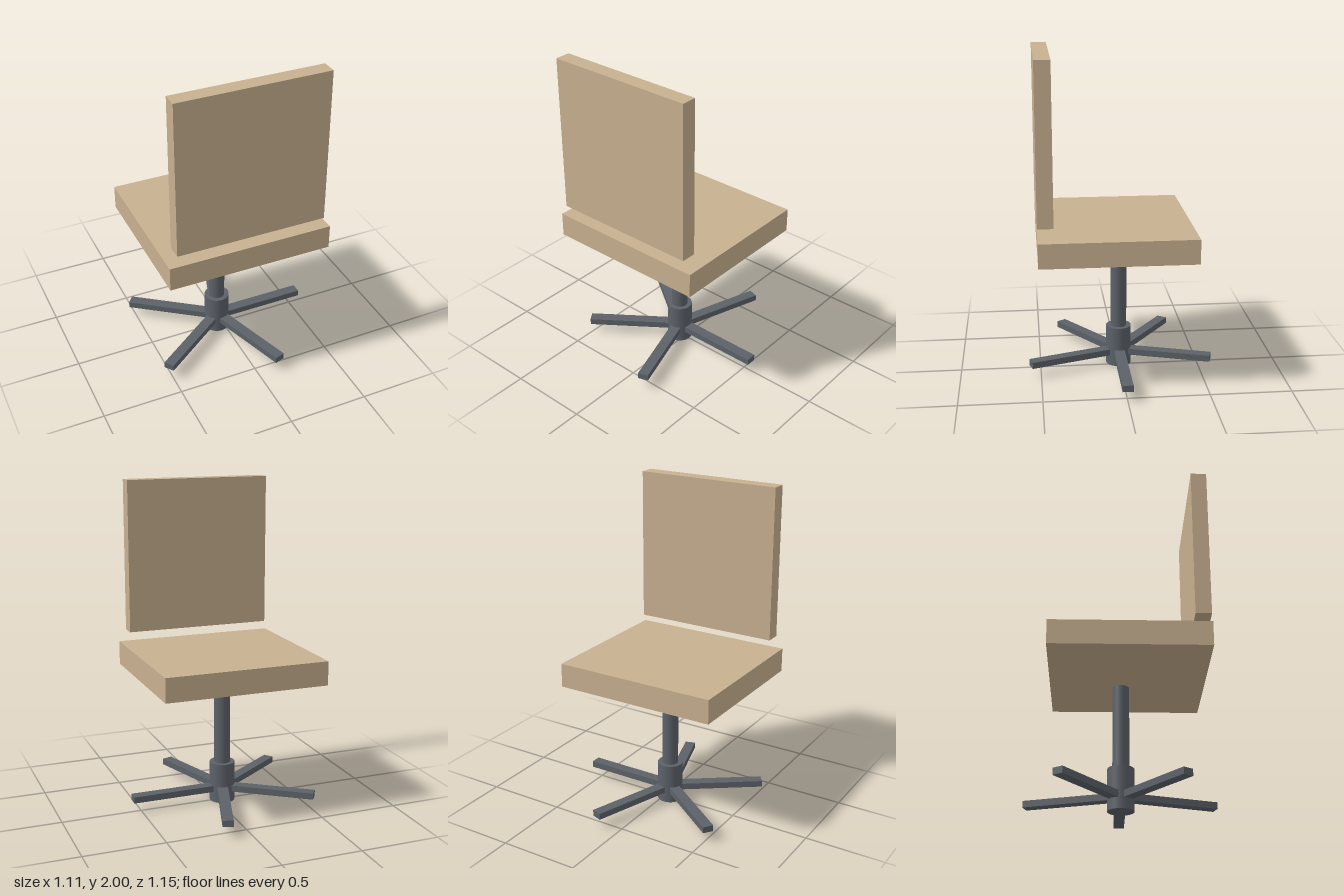
import * as THREE from 'three';

export function createModel() {
  const group = new THREE.Group();
  const tan = new THREE.MeshStandardMaterial({ color: 0xc8b090 });
  tan.name = 'tan upholstery';
  const grey = new THREE.MeshStandardMaterial({ color: 0x5c6269 });
  grey.name = 'grey metal';

  const add = (name, geometry, material, x, y, z, parent = group) => {
    const mesh = new THREE.Mesh(geometry, material);
    mesh.name = name;
    mesh.position.set(x, y, z);
    parent.add(mesh);
    return mesh;
  };

  // Cushions
  add('seat', new THREE.BoxGeometry(1.026, 0.15, 0.94), tan, -0.04, 0.89, 0.04);
  add('backrest', new THREE.BoxGeometry(0.932, 0.96, 0.095), tan, -0.04, 1.52, 0.464);

  // Swivel base, with its axis slightly off centre
  const base = new THREE.Group();
  base.name = 'swivelBase';
  base.position.x = -0.04;
  group.add(base);
  add('column', new THREE.CylinderGeometry(0.05, 0.05, 0.512, 32), grey, 0, 0.509, 0, base);
  add('hub', new THREE.CylinderGeometry(0.079, 0.079, 0.255, 32), grey, 0, 0.1275, 0, base);

  // Five spokes, each a bar shifted out from the axis
  const inner = 0.068, outer = 0.592;
  const bar = new THREE.BoxGeometry(outer - inner, 0.04, 0.066);
  bar.translate((inner + outer) / 2, 0, 0);
  for (let i = 0; i < 5; i++) {
    add('spoke' + (i + 1), bar, grey, 0, 0.086, 0, base).rotation.y = (i * Math.PI * 2) / 5;
  }
  return group;
}
